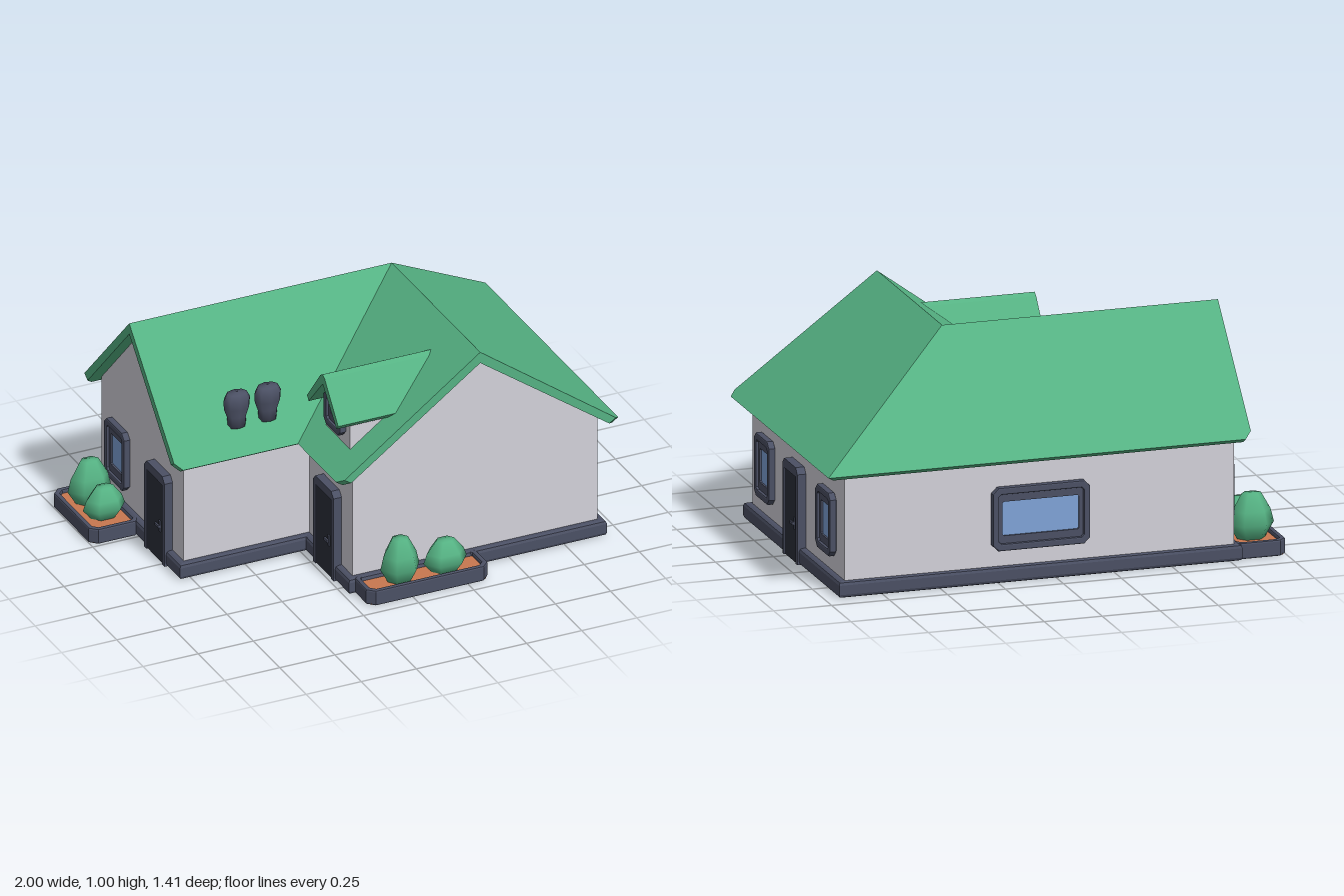
import * as THREE from 'three';

const mat = (name, color) => Object.assign(new THREE.MeshStandardMaterial({ color }), { name });

export function createModel() {
  const green = mat('green', 0x55b283), wall = mat('wall white', 0xd3d2da);
  const slate = mat('slate', 0x4b5064), dark = mat('door dark', 0x2b2f39);
  const glass = mat('glass blue', 0x7fa3d8), soil = mat('terracotta soil', 0xc87850);
  const house = new THREE.Group();
  house.name = 'house';

  const add = (parent, name, geo, material, x = 0, y = 0, z = 0) => {
    const m = new THREE.Mesh(geo, material);
    m.name = name;
    m.position.set(x, y, z);
    parent.add(m);
    return m;
  };
  const shapeOf = pts => new THREE.Shape(pts.map(p => new THREE.Vector2(p[0], p[1])));
  const extrude = (shape, depth, bevel = 0) => {
    const g = new THREE.ExtrudeGeometry(shape, {
      depth: depth - 2 * bevel, bevelEnabled: bevel > 0, bevelSize: bevel,
      bevelThickness: bevel, bevelOffset: -bevel, bevelSegments: 2,
    });
    return g.translate(0, 0, bevel);
  };
  // Extrudes an outline given in x and z straight up
  const plan = (pts, height, bevel) =>
    extrude(shapeOf(pts.map(([x, z]) => [x, -z])), height, bevel).rotateX(-Math.PI / 2);
  // Extrudes an outline given in z and y towards -x
  const side = (pts, depth) => extrude(shapeOf(pts), depth).rotateY(-Math.PI / 2);
  // Rectangle with cut corners
  const cutRect = (w, h, c) => {
    const a = w / 2, b = h / 2;
    return [[-a + c, -b], [a - c, -b], [a, -b + c], [a, b - c],
      [a - c, b], [-a + c, b], [-a, b - c], [-a, -b + c]];
  };
  const ring = (w, h, c, iw, ih, ic) => {
    const s = shapeOf(cutRect(w, h, c));
    s.holes.push(new THREE.Path(cutRect(iw, ih, ic).reverse().map(p => new THREE.Vector2(p[0], p[1]))));
    return s;
  };

  // L-shaped plinth and walls
  const ell = (x0, x1, xm, z0, z1, zm) =>
    [[x0, z0], [x0, zm], [xm, zm], [xm, z1], [x1, z1], [x1, z0]];
  add(house, 'plinth', plan(ell(-0.8, 0.94, -0.23, -0.67, 0.57, 0.16), 0.07, 0.015), slate);
  add(house, 'walls', plan(ell(-0.77, 0.91, -0.2, -0.65, 0.54, 0.13), 0.47, 0), wall, 0, 0.06, 0);
  const gable = (a, b) => [[a, 0.5], [b, 0.5], [b, 0.545], [(a + b) / 2, 0.955], [a, 0.545]];
  add(house, 'leftGable', side(gable(-0.65, 0.13), 0.03), wall, -0.74, 0, 0);
  add(house, 'frontGable', extrude(shapeOf(gable(-0.2, 0.91)), 0.03), wall, 0, 0, 0.51);

  // Main roof: each point has an upper and a lower position
  const ridge = (x, z) => [[x, 1, z], [x, 0.95, z]];
  const eave = (x, z, dx, dz, lift = 0) => [[x, 0.53 + lift, z], [x + dx, 0.51 + lift, z + dz]];
  const A = ridge(-0.83, -0.26), B = ridge(0.36, -0.26), C = ridge(0.36, 0.58);
  const M1 = eave(-0.83, 0.165, 0, -0.03, 0.026), M2 = eave(-0.8, 0.19, 0, -0.03);
  const V = eave(-0.28, 0.19, 0.03, -0.03);
  const W1 = eave(-0.28, 0.55, 0.03, 0), W2 = eave(-0.255, 0.58, 0.03, 0, 0.018);
  const E1 = eave(0.975, 0.58, -0.03, 0, 0.018), E2 = eave(1, 0.55, -0.03, 0);
  const R = eave(1, -0.71, -0.03, 0.03);
  const L1 = eave(-0.8, -0.71, 0, 0.03), L2 = eave(-0.83, -0.685, 0, 0.03, 0.026);
  const pos = [];
  const poly = p => {
    for (let i = 1; i < p.length - 1; i++) pos.push(...p[0], ...p[i], ...p[i + 1]);
  };
  for (const f of [[L1, L2, A, B, R], [B, C, E1, E2, R], [V, W1, W2, C, B], [A, M1, M2, V, B]]) {
    poly(f.map(p => p[0]));
    poly(f.map(p => p[1]).reverse());
  }
  const rim = [A, M1, M2, V, W1, W2, C, E1, E2, R, L1, L2];
  rim.forEach((p, i) => {
    const q = rim[(i + 1) % rim.length];
    poly([p[1], q[1], q[0], p[0]]);
  });
  const roofGeo = new THREE.BufferGeometry();
  roofGeo.setAttribute('position', new THREE.Float32BufferAttribute(pos, 3));
  roofGeo.computeVertexNormals();
  add(house, 'roof', roofGeo, green);

  // Windows and doors are built facing +z and turned onto their wall
  const place = (name, x, y, z, turn) => {
    const g = new THREE.Group();
    g.name = name;
    g.position.set(x, y, z);
    g.rotation.y = turn;
    house.add(g);
    return g;
  };
  const addWindow = (name, w, h, x, y, z, turn) => {
    const g = place(name, x, y, z, turn);
    add(g, 'outerFrame', extrude(ring(w, h, 0.025, w - 0.055, h - 0.06, 0.01), 0.03, 0.006), slate);
    add(g, 'innerFrame', extrude(ring(w - 0.05, h - 0.055, 0.01, w - 0.09, h - 0.125, 0.006), 0.018), slate);
    add(g, 'pane', new THREE.BoxGeometry(w - 0.08, h - 0.11, 0.008), glass, 0, 0, 0.006);
  };
  const addDoor = (name, x, z, turn) => {
    const g = place(name, x, 0, z, turn);
    const frame = shapeOf([[-0.097, 0], [-0.073, 0], [-0.073, 0.37], [0.073, 0.37], [0.073, 0],
      [0.097, 0], [0.097, 0.385], [0.075, 0.41], [-0.075, 0.41], [-0.097, 0.385]]);
    add(g, 'doorFrame', extrude(frame, 0.037), slate);
    add(g, 'doorPanel', new THREE.BoxGeometry(0.148, 0.372, 0.032), dark, 0, 0.187, 0.016);
    add(g, 'handlePlate', new THREE.BoxGeometry(0.014, 0.05, 0.006), slate, 0.045, 0.165, 0.034);
    add(g, 'handle', new THREE.BoxGeometry(0.035, 0.012, 0.008), slate, 0.034, 0.165, 0.041);
  };
  const q = Math.PI / 2;
  addWindow('rightWindowFront', 0.195, 0.27, 0.91, 0.275, 0.34, q);
  addWindow('rightWindowBack', 0.195, 0.27, 0.91, 0.275, -0.45, q);
  addWindow('leftWindow', 0.195, 0.27, -0.77, 0.275, -0.47, -q);
  addWindow('backWindow', 0.42, 0.27, 0.07, 0.275, -0.65, Math.PI);
  addDoor('rightDoor', 0.91, -0.053, q);
  addDoor('leftDoor', -0.77, -0.07, -q);
  addDoor('wingDoor', -0.2, 0.34, -q);

  // Dormer on the left slope of the front wing
  add(house, 'dormerWall', side([[-0.115, 0.58], [0.115, 0.58], [0.115, 0.76], [0, 0.885], [-0.115, 0.76]], 0.37),
    wall, 0.2, 0, 0.34);
  add(house, 'dormerRoof', side([[-0.148, 0.75], [-0.132, 0.73], [0, 0.876], [0.132, 0.73], [0.148, 0.75],
    [0.02, 0.908], [0, 0.92], [-0.02, 0.908]], 0.49), green, 0.25, 0, 0.34);
  addWindow('dormerWindow', 0.16, 0.16, -0.17, 0.73, 0.34, -q);

  // Two roof vents
  const lathe = (pts, n) => new THREE.LatheGeometry(pts.map(p => new THREE.Vector2(p[0], p[1])), n);
  for (const x of [-0.51, -0.37]) {
    const vent = add(house, 'roofVent', lathe([[0, 0], [0.04, 0], [0.044, 0.05], [0.058, 0.09],
      [0.06, 0.125], [0.045, 0.155], [0, 0.16]], 8), slate, x, 0.62, 0.09);
    vent.scale.z = 0.68;
  }

  // Planters with soil and bushes
  const addPlanter = (name, w, d, x, z) => {
    const g = place(name, x, 0, z, 0);
    add(g, 'planterRim', extrude(ring(w, d, 0.03, w - 0.045, d - 0.045, 0.02), 0.07, 0.008)
      .rotateX(-q), slate);
    add(g, 'soil', new THREE.BoxGeometry(w - 0.03, 0.05, d - 0.03), soil, 0, 0.027, 0);
  };
  addPlanter('frontPlanter', 0.55, 0.17, 0.075, 0.615);
  addPlanter('leftPlanter', 0.23, 0.39, -0.885, -0.455);
  const addBush = (x, z, rx, rz, h) => {
    const b = add(house, 'bush', lathe([[0, 0], [0.6, 0], [1, 0.33], [0.85, 0.62], [0.42, 1], [0, 1.01]], 6),
      green, x, 0.05, z);
    b.scale.set(rx, h, rz);
    b.rotation.y = rx > rz ? q : 0;
    if (rx > rz) b.scale.set(rz, h, rx);
  };
  addBush(-0.025, 0.622, 0.088, 0.075, 0.195);
  addBush(0.18, 0.622, 0.098, 0.07, 0.14);
  addBush(-0.885, -0.525, 0.098, 0.065, 0.195);
  addBush(-0.885, -0.385, 0.095, 0.065, 0.14);

  return house;
}
